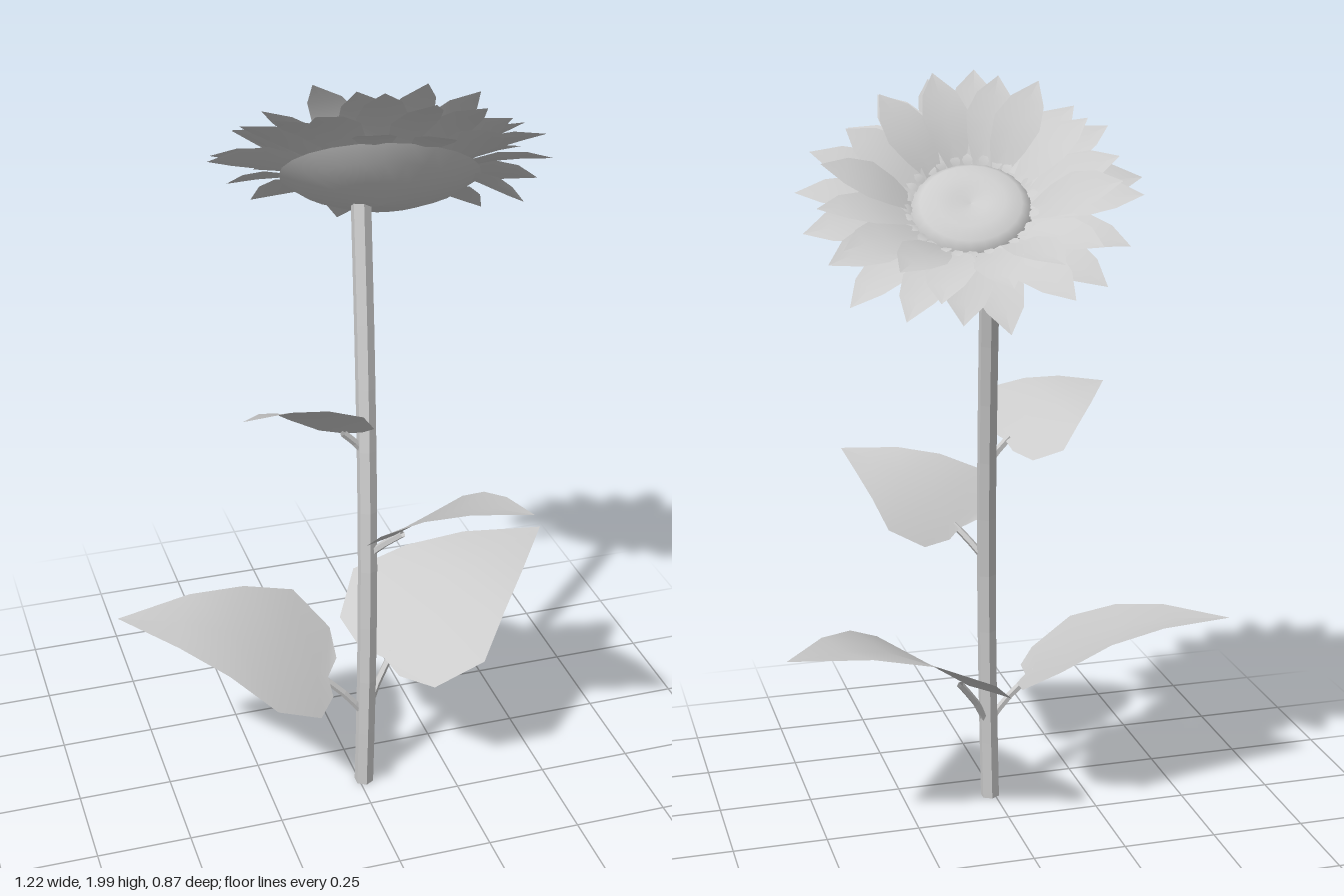
import * as THREE from 'three';

const V = (x, y, z) => new THREE.Vector3(x, y, z);
const grey = new THREE.MeshStandardMaterial({ color: 0xcccccc, side: THREE.DoubleSide });
const greyFlat = new THREE.MeshStandardMaterial({ color: 0xcccccc, side: THREE.DoubleSide, flatShading: true });

// Rows of a blade: [position of the midrib, position of the edge, half width], all as a share of length
const LEAF = [[0, -0.03, 0.14], [0.06, 0.02, 0.33], [0.25, 0.23, 0.45], [0.5, 0.47, 0.335], [0.73, 0.71, 0.2], [1, 1, 0]];
const PETAL = [[0, 0, 0.08], [0.25, 0.25, 0.17], [0.5, 0.5, 0.22], [0.75, 0.75, 0.16], [1, 1, 0]];

// Thin blade along +z, width along x, arched and folded along y
function bladeGeometry(rows, length, width, arch, fold) {
  const pos = [], idx = [];
  rows.forEach(([mid, edge, w], i) => {
    const rise = (s) => arch * length * Math.sin(Math.PI * Math.min(1, Math.max(0, s)));
    const lift = fold * w * length;
    pos.push(-w * width, rise(edge) + lift, edge * length);
    pos.push(0, rise(mid), mid * length);
    pos.push(w * width, rise(edge) + lift, edge * length);
    if (i === 0) return;
    const a = (i - 1) * 3, b = i * 3;
    for (const k of [0, 1]) idx.push(a + k, b + k, a + k + 1, a + k + 1, b + k, b + k + 1);
  });
  const geo = new THREE.BufferGeometry();
  geo.setAttribute('position', new THREE.Float32BufferAttribute(pos, 3));
  geo.setIndex(idx);
  geo.computeVertexNormals();
  return geo;
}

function addMesh(parent, name, geo, mat = grey) {
  const mesh = new THREE.Mesh(geo, mat);
  mesh.name = name;
  parent.add(mesh);
  return mesh;
}

// Leaf from base to tip with its stalk; tilt raises the blade's +x side
function addLeaf(parent, name, root, base, tip, tilt, width) {
  const leaf = new THREE.Group();
  leaf.name = name;
  const dir = tip.clone().sub(base);
  const length = dir.length();
  dir.normalize();
  const side = V(0, 1, 0).cross(dir).normalize();
  side.y += tilt;
  side.addScaledVector(dir, -side.dot(dir)).normalize();
  const up = dir.clone().cross(side);
  const blade = addMesh(leaf, 'leafBlade', bladeGeometry(LEAF, length, length * width, 0.1, 0.06));
  blade.quaternion.setFromRotationMatrix(new THREE.Matrix4().makeBasis(side, up, dir));
  blade.position.copy(base);
  const end = base.clone().addScaledVector(dir, 0.05 * length);
  const path = new THREE.CatmullRomCurve3([root, root.clone().lerp(base, 0.5), end]);
  addMesh(leaf, 'leafStalk', new THREE.TubeGeometry(path, 4, 0.01, 5), greyFlat);
  parent.add(leaf);
}

// Petal at an angle round the head, lifted by pitch
function addPetal(head, name, angle, radius, height, length, width, pitch, twist) {
  const pivot = new THREE.Group();
  pivot.name = name;
  pivot.rotation.y = angle;
  const petal = addMesh(pivot, 'petalBlade', bladeGeometry(PETAL, length, width, 0.06, 0.12));
  petal.position.set(0, height, radius);
  petal.rotation.set(-pitch, 0, twist);
  head.add(pivot);
}

export function createModel() {
  const model = new THREE.Group();
  model.name = 'flower';

  // Stem, leaning gently backwards
  const stemPath = new THREE.CatmullRomCurve3([
    V(0.013, 0, 0.146), V(0.02, 0.35, 0.142), V(0.03, 0.75, 0.112),
    V(0.045, 1.22, 0.035), V(0.062, 1.64, -0.06),
  ]);
  addMesh(model, 'stem', new THREE.TubeGeometry(stemPath, 10, 0.026, 6), greyFlat);

  // Leaves
  addLeaf(model, 'lowerRightLeaf', V(0.015, 0.22, 0.145), V(-0.085, 0.355, 0.135), V(-0.61, 0.53, -0.04), -0.08, 1);
  addLeaf(model, 'lowerLeftLeaf', V(0.02, 0.21, 0.145), V(0.085, 0.355, 0.095), V(0.61, 0.56, -0.11), 0.06, 1);
  addLeaf(model, 'middleLeaf', V(0.03, 0.7, 0.115), V(0.09, 0.782, 0.165), V(0.355, 0.95, 0.44), -0.22, 1.08);
  addLeaf(model, 'upperLeaf', V(0.035, 0.98, 0.075), V(-0.01, 1.045, 0.07), V(-0.305, 1.165, 0.155), 0.48, 1.03);

  // Flower head, facing up and backwards
  const head = new THREE.Group();
  head.name = 'flowerHead';
  head.position.set(0.113, 1.674, -0.066);
  head.quaternion.setFromUnitVectors(V(0, 1, 0), V(0.16, 0.79, -0.59).normalize());
  model.add(head);

  const lathe = (points) => new THREE.LatheGeometry(points.map(([x, y]) => new THREE.Vector2(x, y)), 24);
  addMesh(head, 'calyx', lathe([[0, -0.075], [0.06, -0.07], [0.13, -0.054], [0.2, -0.028], [0.25, 0.005]]));
  addMesh(head, 'seedDisc', lathe([[0.15, -0.015], [0.148, 0.006], [0.125, 0.024], [0.085, 0.033], [0.045, 0.031], [0, 0.022]]));

  // Small florets round the disc and two rings of petals, with a little variation
  const rings = [
    { name: 'floret', count: 28, radius: 0.14, height: 0.006, length: 0.035, width: 0.06, pitch: 0.35 },
    { name: 'innerPetal', count: 16, radius: 0.145, height: 0.003, length: 0.245, width: 0.28, pitch: 0.43 },
    { name: 'outerPetal', count: 20, radius: 0.155, height: 0.003, length: 0.268, width: 0.28, pitch: 0.13 },
  ];
  for (const r of rings) {
    for (let i = 0; i < r.count; i++) {
      const wave = Math.sin(i * 2.4), wave2 = Math.cos(i * 1.7);
      addPetal(head, r.name, ((i + 0.12 * wave) / r.count) * Math.PI * 2, r.radius, r.height,
        r.length * (1 + 0.04 * wave2), r.width, r.pitch + 0.1 * wave, 0.15 * wave2);
    }
  }

  // A few short petals bent back beneath the head
  for (const [angle, pitch] of [[-0.35, -0.1], [0.15, -0.1], [1.3, -0.45]]) {
    addPetal(head, 'bentPetal', angle, 0.21, 0, 0.16, 0.24, pitch, 0);
  }

  return model;
}
